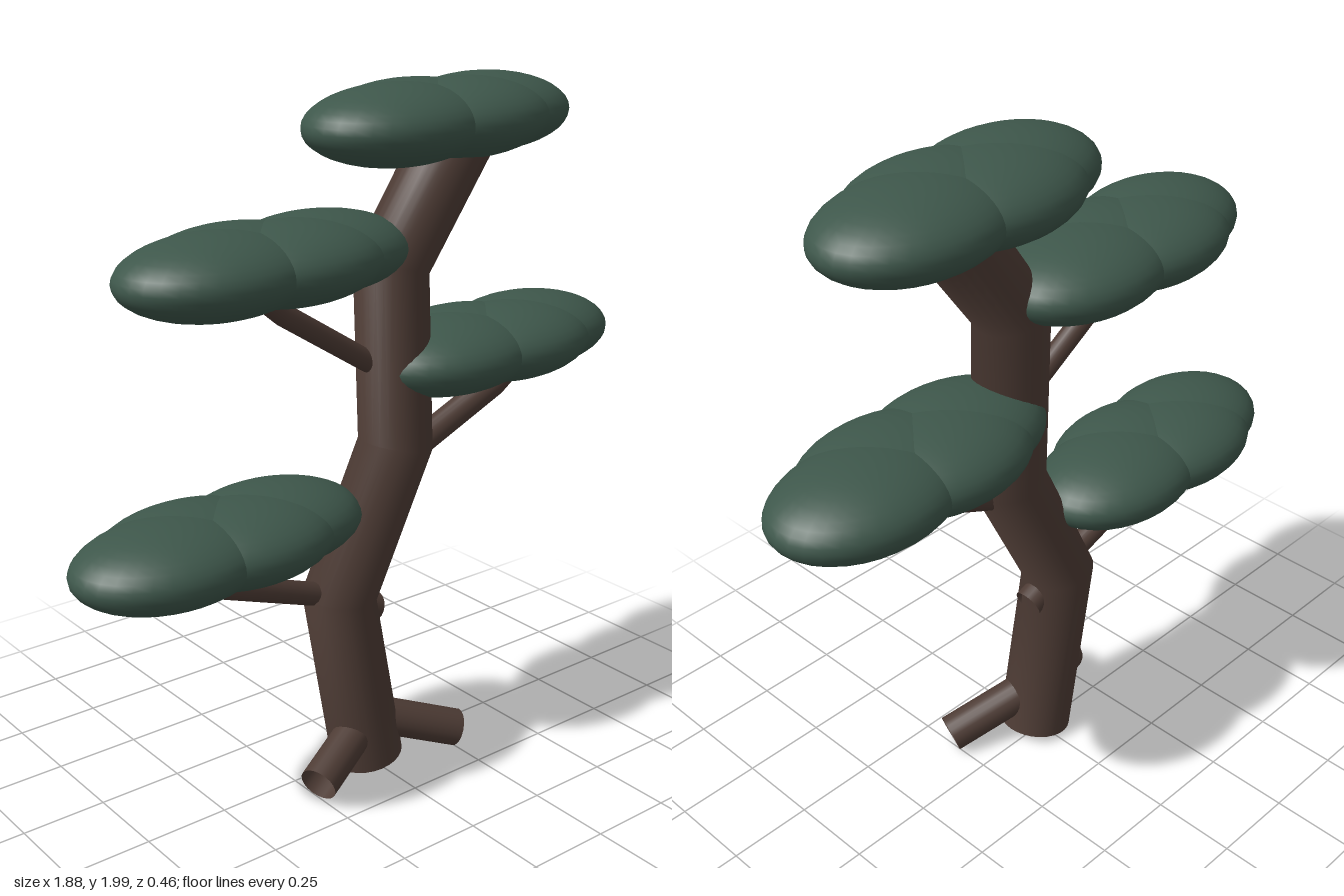
import * as THREE from 'three';

const Z = 0.022;

// Open tube whose rings sit exactly on the given [x, y, z] points
function limb(name, points, radius, material, sides = 20) {
  const curve = new THREE.CatmullRomCurve3(points.map(([x, y, z = Z]) => new THREE.Vector3(x, y, z)));
  curve.getUtoTmapping = (u) => u;
  const mesh = new THREE.Mesh(new THREE.TubeGeometry(curve, points.length - 1, radius, sides), material);
  mesh.name = name;
  return mesh;
}

export function createModel() {
  const tree = new THREE.Group();
  tree.name = 'tree';

  const bark = new THREE.MeshStandardMaterial({ color: 0x4e3c35, side: THREE.DoubleSide });
  bark.name = 'bark brown';
  const leaf = new THREE.MeshStandardMaterial({ color: 0x3e574b });
  leaf.name = 'leaf green';

  // Zigzag trunk
  tree.add(limb('trunk', [[0, 0.027], [-0.1, 0.57], [0.105, 0.99], [0.085, 1.51], [0.33, 1.86]], 0.108, bark, 28));

  // Mirrored roots reaching forward and down
  for (const side of [1, -1]) {
    tree.add(limb(side > 0 ? 'leftRoot' : 'rightRoot',
      [[0, 0.16, 0.03], [side * 0.262, 0.062, 0.13]], 0.056, bark));
  }

  // Branches and a cut stub
  tree.add(limb('lowerBranch', [[-0.1, 0.57], [-0.48, 0.705], [-0.57, 0.8]], 0.034, bark));
  tree.add(limb('middleBranch', [[0.1, 0.93], [0.48, 1.095], [0.6, 1.18]], 0.04, bark));
  tree.add(limb('upperBranch', [[0.1, 1.19], [-0.28, 1.43], [-0.4, 1.53]], 0.031, bark));
  tree.add(limb('stub', [[-0.09, 0.547], [0.028, 0.499]], 0.045, bark));

  // Flat foliage pads, each made of four overlapping ellipsoids
  const ball = new THREE.SphereGeometry(1, 32, 20);
  const pads = { lowerPad: [-0.48, 0.832], middlePad: [0.475, 1.222], upperPad: [-0.31, 1.568], topPad: [0.275, 1.89] };
  const lobes = [[-0.18, 0.028], [0.05, 0.028], [-0.075, -0.028], [0.18, -0.028]];
  for (const [name, [px, py]] of Object.entries(pads)) {
    const pad = new THREE.Group();
    pad.name = name;
    pad.position.set(px, py, 0);
    for (const [x, z] of lobes) {
      const lobe = new THREE.Mesh(ball, leaf);
      lobe.name = 'leafLobe';
      lobe.position.set(x, 0, z);
      lobe.scale.set(0.28, 0.11, 0.204);
      pad.add(lobe);
    }
    tree.add(pad);
  }
  return tree;
}
